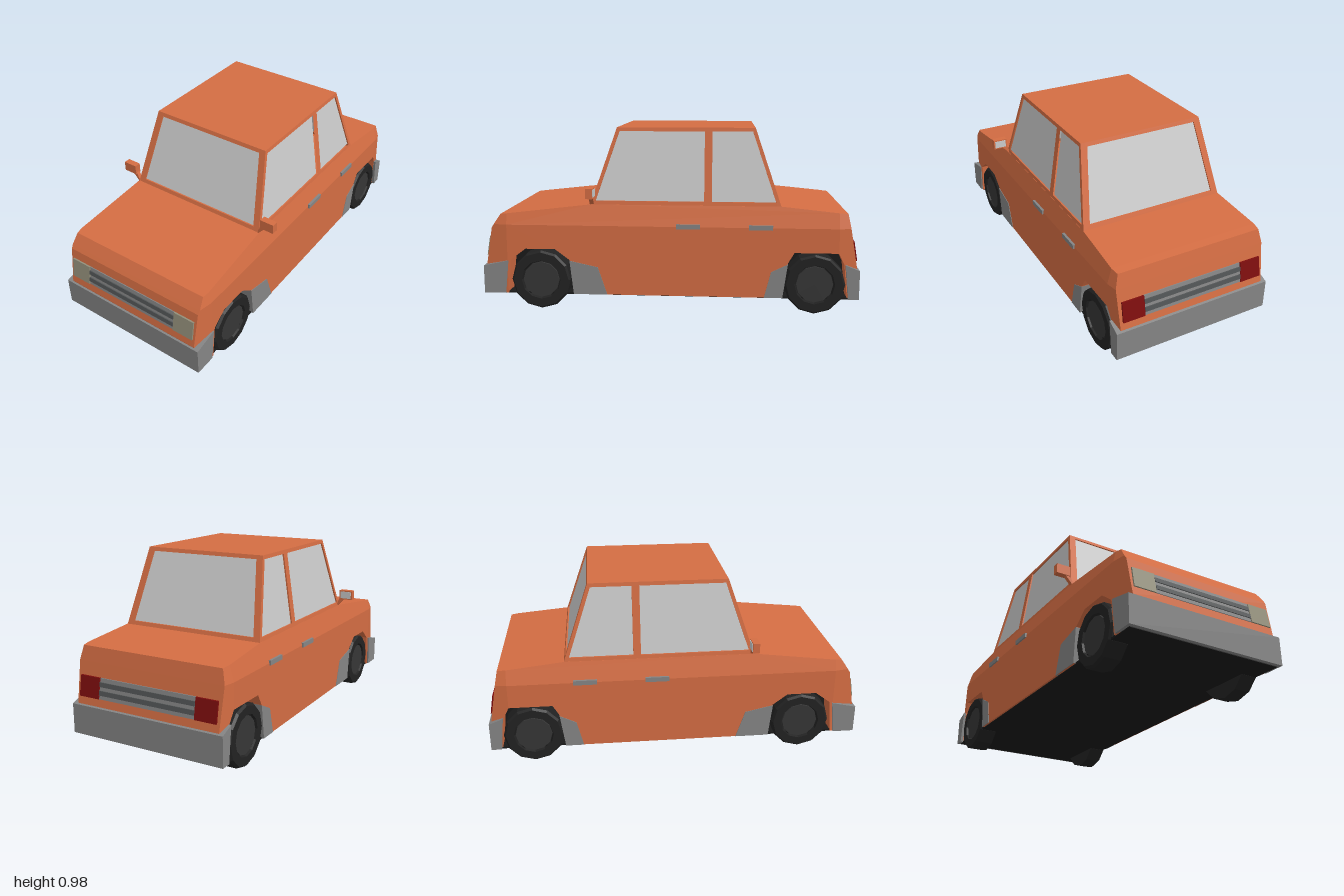
import * as THREE from 'three';

const mat = (color) => new THREE.MeshStandardMaterial({ color, flatShading: true });

export function createModel() {
  const car = new THREE.Group();
  const paint = mat(0xd46d43), glass = mat(0xcccccc), bumperGrey = mat(0x858585);
  const black = mat(0x1a1a1a), tyreMat = mat(0x222222), rimMat = mat(0x363636);
  const lampMat = mat(0x938f7a), redMat = mat(0x7d0d0d), barMat = mat(0x525556);

  const add = (name, geo, material, parent = car) => {
    const mesh = new THREE.Mesh(geo, material);
    mesh.name = name;
    parent.add(mesh);
    return mesh;
  };
  const shapeOf = (pts) => new THREE.Shape(pts.map(([a, b]) => new THREE.Vector2(a, b)));

  // Side profile of [z, y] points extruded across x; half is a width or a rule of (z, y)
  const slab = (pts, half, cx = 0) => {
    const geo = new THREE.ExtrudeGeometry(shapeOf(pts), { depth: 2, bevelEnabled: false });
    geo.translate(0, 0, -1).rotateY(-Math.PI / 2);
    const p = geo.attributes.position;
    for (let i = 0; i < p.count; i++) {
      const w = typeof half === 'function' ? half(p.getZ(i), p.getY(i)) : half;
      p.setX(i, cx + Math.sign(p.getX(i)) * w);
    }
    geo.computeVertexNormals();
    return geo;
  };

  // Body: sides lean in above the waist and taper at nose and tail
  const bodyHalf = (z, y) => 0.435 - Math.max(0, y - 0.46) * 0.27
    - Math.max(0, z - 0.87) * 0.2 - Math.max(0, -0.89 - z) * 0.2;
  const body = new THREE.Group();
  body.name = 'body';
  car.add(body);
  const frontArch = [[0.87, 0.085], [0.85, 0.27], [0.77, 0.33], [0.61, 0.33], [0.53, 0.27], [0.51, 0.085]];
  const rearArch = [[-0.60, 0.085], [-0.625, 0.27], [-0.66, 0.33], [-0.89, 0.33], [-0.92, 0.27], [-0.94, 0.085]];
  const bodyParts = {
    lowerSides: [...frontArch, ...rearArch.slice(0, 4), [-0.89, 0.46], [0.87, 0.46]],
    upperSides: [[0.87, 0.46], [0.87, 0.519], [0.42, 0.57], [-0.59, 0.57], [-0.89, 0.54], [-0.89, 0.46]],
    lowerNose: [[0.87, 0.085], [0.98, 0.085], [0.99, 0.24], [0.955, 0.44], [0.942, 0.46], [0.87, 0.46]],
    upperNose: [[0.87, 0.46], [0.942, 0.46], [0.905, 0.515], [0.87, 0.519]],
    lowerTail: [...rearArch.slice(3), [-0.98, 0.085], [-0.99, 0.24], [-0.95, 0.46], [-0.89, 0.46]],
    upperTail: [[-0.89, 0.46], [-0.95, 0.46], [-0.935, 0.535], [-0.89, 0.54]],
  };
  for (const [name, pts] of Object.entries(bodyParts)) add(name, slab(pts, bodyHalf), paint, body);
  add('frontArchLiner', slab(frontArch, 0.335), black);
  add('rearArchLiner', slab(rearArch, 0.335), black);
  add('underside', new THREE.BoxGeometry(0.85, 0.01, 1.96).translate(0, 0.086, 0), black);

  // Bumpers and the grey guards beside the wheels
  add('frontBumper', slab([[1, 0.085], [1, 0.235], [0.865, 0.265], [0.885, 0.085]], 0.441), bumperGrey);
  add('rearBumper', slab([[-1, 0.085], [-1, 0.24], [-0.925, 0.27], [-0.945, 0.085]], 0.441), bumperGrey);
  add('frontGuard', slab([[0.512, 0.085], [0.532, 0.268], [0.38, 0.235], [0.33, 0.085]], 0.438), bumperGrey);
  add('rearGuard', slab([[-0.602, 0.085], [-0.627, 0.268], [-0.54, 0.225], [-0.505, 0.085]], 0.438), bumperGrey);

  // Lamps and grille, following the lean of the end faces
  const strip = (end, y0, y1, out, half, cx) => {
    const z = (y) => 0.982 - (y - 0.285) * 0.17;
    const pts = [[z(y0) - 0.03, y0], [z(y0) + out, y0], [z(y1) + out, y1], [z(y1) - 0.03, y1]];
    return slab(pts.map(([a, b]) => [a * end, b]), half, cx);
  };
  for (const [end, label, lamp] of [[1, 'front', lampMat], [-1, 'rear', redMat]]) {
    add(label + 'Grille', strip(end, 0.285, 0.39, 0.004, 0.28, 0), bumperGrey);
    for (const y of [0.305, 0.347]) add(label + 'GrilleBar', strip(end, y, y + 0.023, 0.009, 0.28, 0), barMat);
    for (const s of [1, -1]) add(label + 'Lamp', strip(end, 0.285, 0.39, 0.008, 0.06, s * 0.341), lamp);
  }

  // Cabin: sloping framed walls with glass set just behind the openings
  const cabin = new THREE.Group();
  cabin.name = 'cabin';
  car.add(cabin);
  const Y0 = 0.565, Y1 = 0.975;
  const wall = (name, outline, holes, base, top, angle) => {
    const make = (pts, cut, depth, inset) => {
      const shape = shapeOf(pts);
      cut.forEach((h) => shape.holes.push(shapeOf(h)));
      const geo = new THREE.ExtrudeGeometry(shape, { depth, bevelEnabled: false });
      const p = geo.attributes.position;
      for (let i = 0; i < p.count; i++) {
        const t = (p.getY(i) - Y0) / (Y1 - Y0);
        p.setZ(i, p.getZ(i) - depth - inset + base + (top - base) * t);
      }
      geo.computeVertexNormals();
      return geo.rotateY(angle);
    };
    add(name, make(outline, holes, 0.02, 0), paint, cabin);
    holes.forEach((h) => add(name + 'Glass', make(h, [], 0.008, 0.008), glass, cabin));
  };
  const endOutline = [[-0.405, Y0], [0.405, Y0], [0.345, Y1], [-0.345, Y1]];
  const endHole = [[-0.365, 0.59], [0.365, 0.59], [0.312, 0.955], [-0.312, 0.955]];
  wall('windscreen', endOutline, [endHole], 0.42, 0.28, 0);
  wall('rearWindow', endOutline, [endHole], 0.59, 0.45, Math.PI);
  const sideOutline = [[0.42, Y0], [0.28, Y1], [-0.45, Y1], [-0.59, Y0]];
  const sideHoles = [
    [[0.395, 0.59], [0.268, 0.955], [-0.185, 0.955], [-0.185, 0.59]],
    [[-0.225, 0.59], [-0.225, 0.955], [-0.438, 0.955], [-0.565, 0.59]],
  ];
  for (const s of [1, -1]) {
    const flip = (pts) => pts.map(([z, y]) => [-s * z, y]);
    wall(s > 0 ? 'leftSide' : 'rightSide', flip(sideOutline), sideHoles.map(flip), 0.405, 0.345, s * Math.PI / 2);
  }
  add('roof', new THREE.BoxGeometry(0.69, 0.012, 0.73).translate(0, 0.969, -0.085), paint, cabin);

  // Wheels
  const tyreProfile = [[0, 0], [0.16, 0], [0.16, 0.088], [0.15, 0.1], [0.106, 0.1], [0.1, 0.08], [0, 0.08]];
  const tyreGeo = new THREE.LatheGeometry(tyreProfile.map(([r, y]) => new THREE.Vector2(r, y)), 12);
  const rimGeo = new THREE.CylinderGeometry(0.097, 0.097, 0.04, 12).translate(0, 0.072, 0);
  for (const s of [1, -1]) {
    for (const z of [0.69, -0.77]) {
      const wheel = new THREE.Group();
      wheel.name = (z > 0 ? 'front' : 'rear') + (s > 0 ? 'Left' : 'Right') + 'Wheel';
      add('tyre', tyreGeo, tyreMat, wheel);
      add('rim', rimGeo, rimMat, wheel);
      wheel.rotation.z = -s * Math.PI / 2;
      wheel.position.set(s * 0.335, 0.16, z);
      car.add(wheel);
    }

    // Door handles
    for (const z of [-0.103, -0.483]) {
      add('doorHandle', new THREE.BoxGeometry(0.02, 0.025, 0.125).translate(s * 0.434, 0.462, z), bumperGrey);
    }

    // Door mirrors: stalk, housing and glass
    const stalk = [[0.4, 0.565], [0.4, 0.585], [0.416, 0.62], [0.418, 0.64], [0.46, 0.64], [0.44, 0.612], [0.406, 0.575]];
    const stalkGeo = new THREE.ExtrudeGeometry(shapeOf(stalk.map(([x, y]) => [s * x, y])), { depth: 0.022, bevelEnabled: false });
    add('mirrorStalk', stalkGeo.translate(0, 0, 0.4), paint);
    add('mirrorHousing', new THREE.BoxGeometry(0.078, 0.053, 0.036).translate(s * 0.456, 0.639, 0.41), paint);
    add('mirrorGlass', new THREE.BoxGeometry(0.064, 0.04, 0.004).translate(s * 0.456, 0.639, 0.391), glass);
  }
  return car;
}
